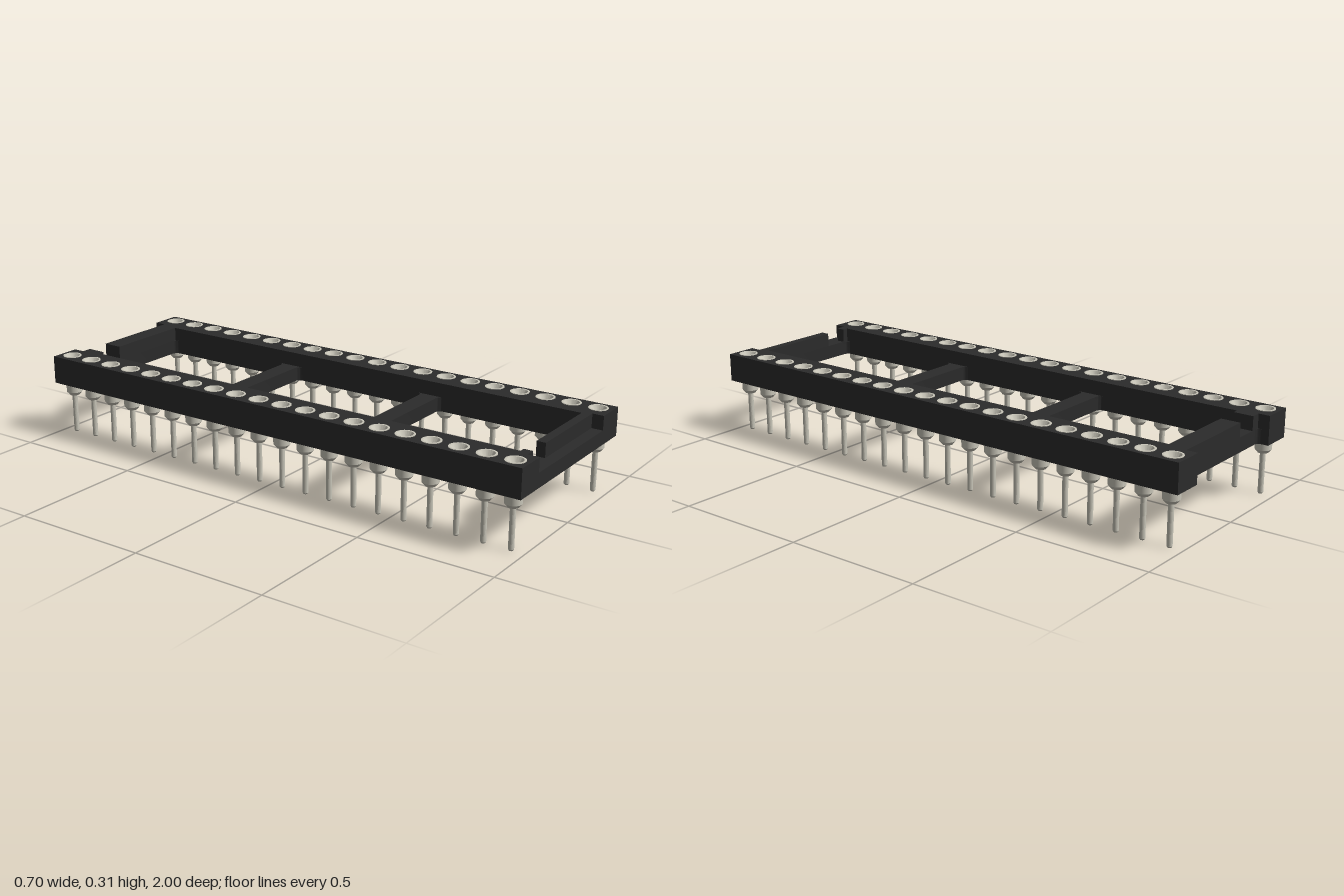
import * as THREE from 'three';
import { toCreasedNormals } from 'three/addons/utils/BufferGeometryUtils.js';

const BOTTOM = 0.2, STEP = 0.253, TOP = 0.305; // body levels
const OUT = 0.35, IN = 0.22, NOTCH = 0.235, END = 0.958;
const PIN_X = 0.3, PINS = 20, PITCH = 0.1;
const pinZ = Array.from({ length: PINS }, (_, i) => (i - (PINS - 1) / 2) * PITCH);

const plastic = new THREE.MeshStandardMaterial({ color: 0x2b2b2b });
const metal = new THREE.MeshStandardMaterial({ color: 0xc8c5b8 });

// Plan shapes are drawn in (x, z) and given height from y0 to y1
function slab(name, shape, y0, y1) {
  const geo = new THREE.ExtrudeGeometry(shape, { depth: y1 - y0, bevelEnabled: false, curveSegments: 7 });
  geo.rotateX(Math.PI / 2).translate(0, y1, 0);
  const mesh = new THREE.Mesh(toCreasedNormals(geo, 0.7), plastic);
  mesh.name = name;
  return mesh;
}

function polygon(points) {
  return new THREE.Shape(points.map(([x, z]) => new THREE.Vector2(x, z)));
}

function block(name, x0, x1, z0, z1) {
  return slab(name, polygon([[x0, z0], [x1, z0], [x1, z1], [x0, z1]]), STEP, TOP);
}

function roundedWindow(z0, z1, r = 0.02) {
  const p = new THREE.Path();
  p.absarc(IN - r, z1 - r, r, 0, Math.PI / 2);
  p.absarc(-IN + r, z1 - r, r, Math.PI / 2, Math.PI);
  p.absarc(-IN + r, z0 + r, r, Math.PI, Math.PI * 1.5);
  p.absarc(IN - r, z0 + r, r, Math.PI * 1.5, Math.PI * 2);
  p.closePath();
  return p;
}

function addPinHoles(shape, side) {
  for (const z of pinZ) {
    shape.holes.push(new THREE.Path().absarc(side * PIN_X, z, 0.0295, 0, Math.PI * 2));
  }
}

// Lower frame: rails and cross bars, with a notch at the back
function lowerFrame() {
  const r = 0.02;
  const s = new THREE.Shape();
  s.moveTo(-OUT, 1);
  s.lineTo(-OUT, -1);
  s.lineTo(-NOTCH, -1);
  s.lineTo(-NOTCH, -END - r);
  s.quadraticCurveTo(-NOTCH, -END, -NOTCH + r, -END);
  s.lineTo(NOTCH - r, -END);
  s.quadraticCurveTo(NOTCH, -END, NOTCH, -END - r);
  s.lineTo(NOTCH, -1);
  s.lineTo(OUT, -1);
  s.lineTo(OUT, 1);
  s.closePath();
  for (const [z0, z1] of [[-0.885, -0.33], [-0.26, 0.297], [0.367, 0.925]]) {
    s.holes.push(roundedWindow(z0, z1));
  }
  addPinHoles(s, -1);
  addPinHoles(s, 1);
  return slab('lowerFrame', s, BOTTOM, STEP);
}

// Upper half of a rail, thinner at both ends
function upperRail(side) {
  const s = polygon([
    [OUT, -1], [OUT, 1], [NOTCH, 1], [NOTCH, END], [IN, END], [IN, -END], [NOTCH, -END], [NOTCH, -1],
  ].map(([x, z]) => [side * x, z]));
  addPinHoles(s, side);
  return slab(side > 0 ? 'leftRail' : 'rightRail', s, STEP, TOP);
}

// Turned contact: tip, shank, collar, rim and funnel socket
function pinGeometry() {
  const profile = [
    [0, 0], [0.007, 0], [0.01, 0.005], [0.01, 0.15], [0.019, 0.15], [0.03, 0.163], [0.03, TOP],
    [0.035, TOP], [0.035, 0.307], [0.028, 0.307], [0.012, 0.283], [0.012, 0.22], [0, 0.22],
  ].map(([x, y]) => new THREE.Vector2(x, y));
  return toCreasedNormals(new THREE.LatheGeometry(profile, 20), 0.5);
}

export function createModel() {
  const model = new THREE.Group();
  model.name = 'pinSocket';

  const body = new THREE.Group();
  body.name = 'body';
  body.add(lowerFrame(), upperRail(-1), upperRail(1));

  // Raised end walls, each with an orientation gap
  for (const [end, z0, z1] of [['front', 0.925, END], ['back', -END, -0.885]]) {
    body.add(block(end + 'Wall', -0.11, IN, z0, z1));
    body.add(block(end + 'Tab', -IN, -0.198, z0, z1));
  }
  model.add(body);

  // Two rows of contacts
  const geo = pinGeometry();
  for (const side of [-1, 1]) {
    const row = new THREE.Group();
    row.name = side > 0 ? 'leftPins' : 'rightPins';
    for (const z of pinZ) {
      const pin = new THREE.Mesh(geo, metal);
      pin.name = 'pin';
      pin.position.set(side * PIN_X, 0, z);
      row.add(pin);
    }
    model.add(row);
  }
  return model;
}
